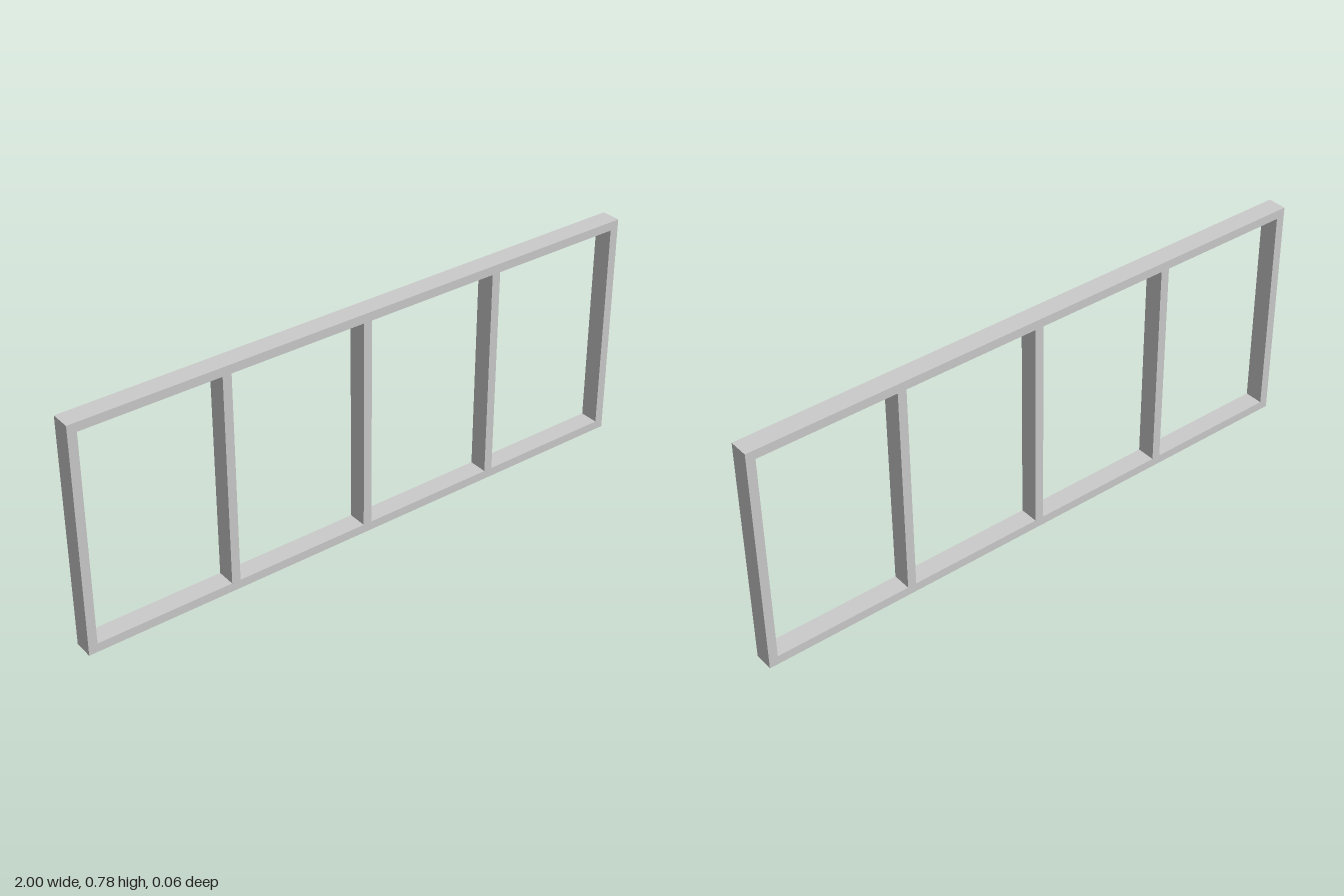
import * as THREE from 'three';

const LENGTH = 2, HEIGHT = 0.78, DEPTH = 0.065, THICK = 0.03, STUDS = 5;

export function createModel() {
  const group = new THREE.Group();
  group.name = 'wallFrame';
  const material = new THREE.MeshStandardMaterial({ color: 0xcccccc });

  const addBeam = (name, width, height, x, y) => {
    const mesh = new THREE.Mesh(new THREE.BoxGeometry(width, height, DEPTH), material);
    mesh.name = name;
    mesh.position.set(x, y, 0);
    group.add(mesh);
  };

  // Horizontal plates run the full length
  addBeam('bottomPlate', LENGTH, THICK, 0, THICK / 2);
  addBeam('topPlate', LENGTH, THICK, 0, HEIGHT - THICK / 2);

  // Evenly spaced studs stand between the plates, flush at both ends
  const spacing = (LENGTH - THICK) / (STUDS - 1);
  for (let i = 0; i < STUDS; i++) {
    const x = (i - (STUDS - 1) / 2) * spacing;
    addBeam(`stud${i + 1}`, THICK, HEIGHT - 2 * THICK, x, HEIGHT / 2);
  }
  return group;
}
